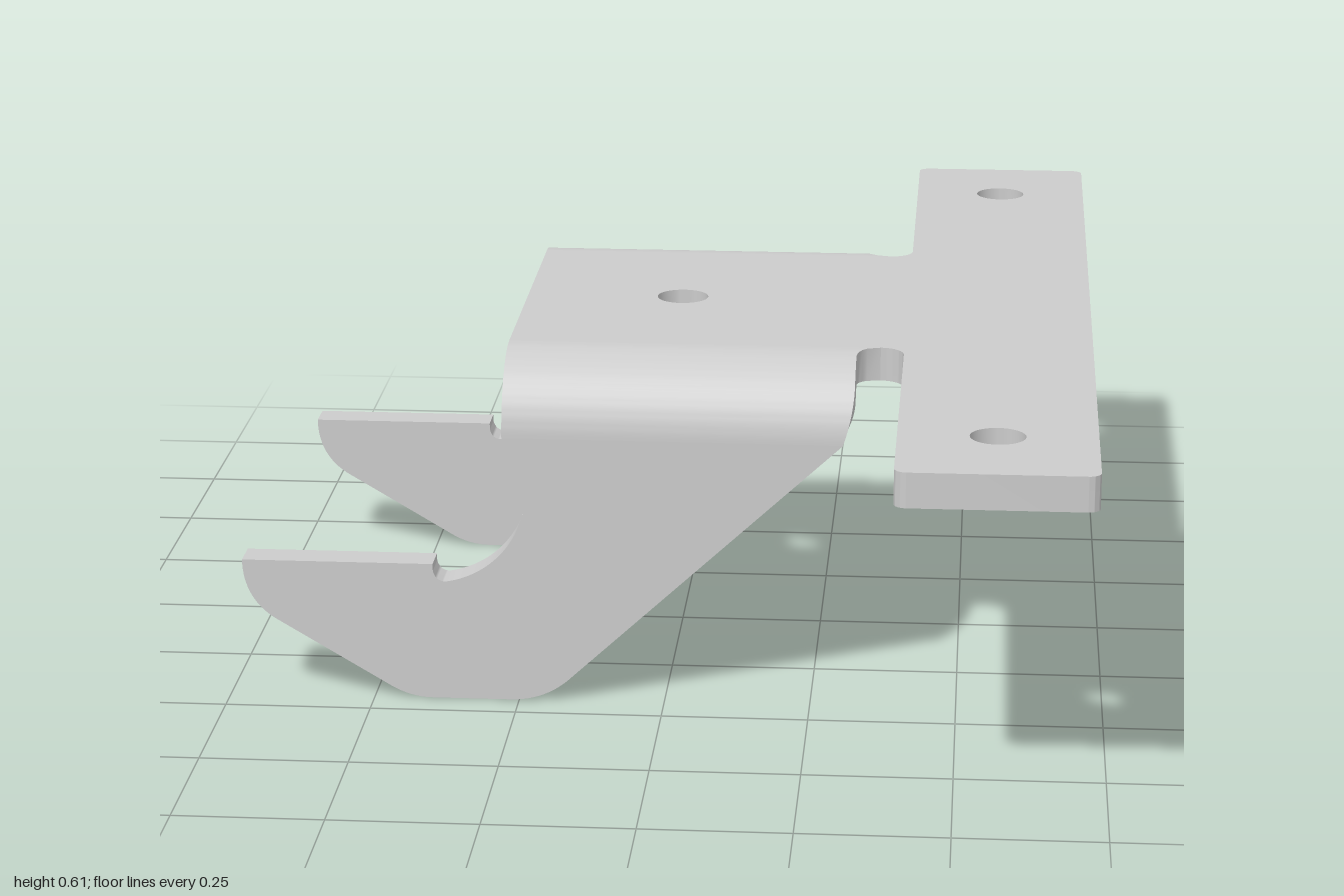
import * as THREE from 'three';
import { toCreasedNormals } from 'three/addons/utils/BufferGeometryUtils.js';

const TOP = 0.605, T = 0.058;        // plate top height, sheet thickness
const FLAT = 0.305, R = 0.135;       // half width of flat part, outer bend radius
const BACK = -0.275, SLOT = 0.04;    // left edge of the plate, relief slot radius
const material = new THREE.MeshStandardMaterial({ color: 0xcccccc });

function addMesh(group, name, geometry) {
  const mesh = new THREE.Mesh(toCreasedNormals(geometry, 0.6), material);
  mesh.name = name;
  group.add(mesh);
  return mesh;
}

const extrude = (shape) =>
  new THREE.ExtrudeGeometry(shape, { depth: T, bevelEnabled: false, curveSegments: 16 });

// T-shaped mounting plate with relief slots and three holes
function plateGeometry() {
  const s = new THREE.Shape();
  const c = 0.02, x0 = 0.4, x1 = 0.72, z = FLAT + SLOT;
  s.moveTo(BACK, -FLAT);
  s.lineTo(0.36, -FLAT);
  s.absarc(0.36, -z, SLOT, Math.PI / 2, 0, true);
  s.lineTo(x0, -1 + c);
  s.absarc(x0 + c, -1 + c, c, Math.PI, Math.PI * 1.5, false);
  s.absarc(x1 - c, -1 + c, c, -Math.PI / 2, 0, false);
  s.absarc(x1 - c, 1 - c, c, 0, Math.PI / 2, false);
  s.absarc(x0 + c, 1 - c, c, Math.PI / 2, Math.PI, false);
  s.lineTo(x0, z);
  s.absarc(0.36, z, SLOT, 0, -Math.PI / 2, true);
  s.lineTo(BACK, FLAT);
  s.closePath();
  for (const [x, y] of [[0, 0], [0.56, 0.8], [0.56, -0.8]]) {
    s.holes.push(new THREE.Path().absarc(x, y, 0.045, 0, Math.PI * 2, true));
  }
  return extrude(s).rotateX(-Math.PI / 2).translate(0, TOP - T, 0);
}

// Hooked side flange below the bend
function flangeGeometry() {
  const s = new THREE.Shape();
  s.moveTo(BACK, TOP - R);
  s.lineTo(BACK, 0.367);
  s.lineTo(-0.265, 0.367);
  s.bezierCurveTo(-0.25, 0.367, -0.237, 0.352, -0.241, 0.335);
  s.absarc(-0.4, 0.373, 0.163, -0.235, -1.38, true);
  s.bezierCurveTo(-0.385, 0.209, -0.396, 0.221, -0.396, 0.235);
  s.lineTo(-0.396, 0.243);
  s.lineTo(-0.725, 0.243);
  s.bezierCurveTo(-0.725, 0.195, -0.705, 0.158, -0.665, 0.135);
  s.lineTo(-0.475, 0.022);
  s.quadraticCurveTo(-0.44, 0, -0.4, 0);
  s.lineTo(-0.265, 0);
  s.quadraticCurveTo(-0.208, 0, -0.166, 0.037);
  s.lineTo(0.302, TOP - R);
  s.closePath();
  return extrude(s);
}

// Right-hand edge of the bend: slot curve first, rounded corner last
function bendEdge(angle) {
  const d = SLOT - R * Math.sin(angle);
  if (d > 0) return 0.36 - Math.sqrt(Math.max(0, SLOT * SLOT - d * d));
  const k = Math.max(0, (angle - 0.8) / (Math.PI / 2 - 0.8));
  return 0.32 - 0.018 * k * k;
}

// Quarter-round bend swept through cross-sections
function bendGeometry(side) {
  const pos = [], index = [], n = 30;
  for (let i = 0; i <= n; i++) {
    const a = (i / n) * Math.PI / 2, x = bendEdge(a);
    for (const [px, r] of [[BACK, R], [x, R], [x, R - T], [BACK, R - T]]) {
      pos.push(px, TOP - R + r * Math.cos(a), side * (FLAT + r * Math.sin(a)));
    }
  }
  for (let i = 0; i < n; i++) {
    for (let k = 0; k < 4; k++) {
      const a = i * 4 + k, b = i * 4 + (k + 1) % 4, c = b + 4, d = a + 4;
      if (side > 0) index.push(a, d, c, a, c, b);
      else index.push(a, c, d, a, b, c);
    }
  }
  const g = new THREE.BufferGeometry();
  g.setAttribute('position', new THREE.Float32BufferAttribute(pos, 3));
  g.setIndex(index);
  return g;
}

export function createModel() {
  const model = new THREE.Group();
  model.name = 'hookBracket';
  addMesh(model, 'mountingPlate', plateGeometry());
  for (const side of [1, -1]) {
    const label = side > 0 ? 'front' : 'back';
    addMesh(model, label + 'Bend', bendGeometry(side));
    const flange = addMesh(model, label + 'HookFlange', flangeGeometry());
    flange.position.z = side > 0 ? FLAT + R - T : -FLAT - R;
  }
  return model;
}
